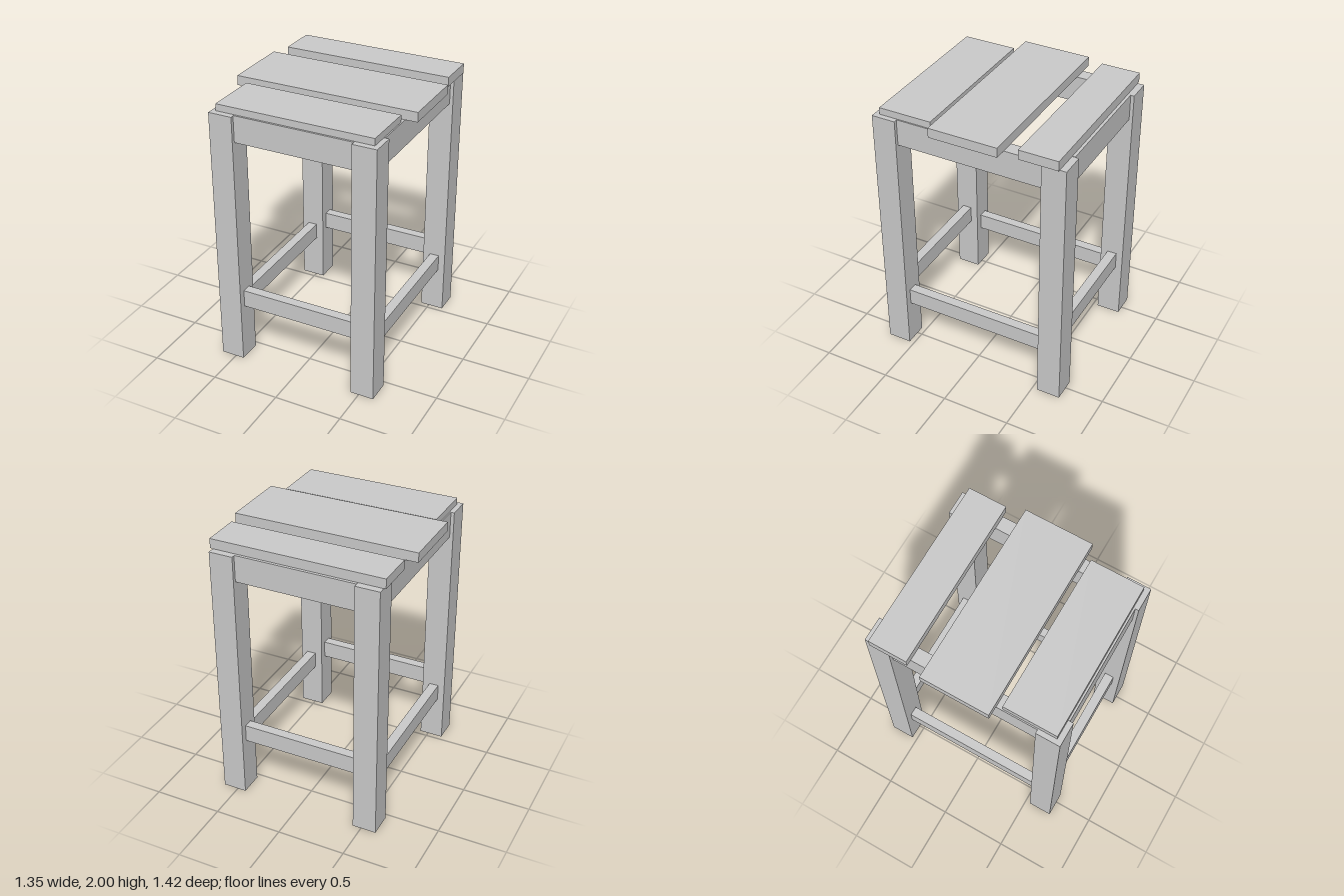
import * as THREE from 'three';

const material = new THREE.MeshStandardMaterial({ color: 0xcccccc, flatShading: true });

// Box given by its min/max extents on each axis
function board(name, [x0, x1], [y0, y1], [z0, z1]) {
  const mesh = new THREE.Mesh(new THREE.BoxGeometry(x1 - x0, y1 - y0, z1 - z0), material);
  mesh.position.set((x0 + x1) / 2, (y0 + y1) / 2, (z0 + z1) / 2);
  mesh.name = name;
  return mesh;
}

// Extent from a to b, mirrored when side is -1
const span = (side, a, b) => (side > 0 ? [a, b] : [-b, -a]);

export function createModel() {
  const stool = new THREE.Group();
  stool.name = 'stool';

  const legX = [0.436, 0.611], legZ = [0.537, 0.712], legTop = 1.927;
  const betweenX = [-legX[0], legX[0]], betweenZ = [-legZ[0], legZ[0]];

  for (const s of [1, -1]) {
    const side = s > 0 ? 'left' : 'right';
    const end = s > 0 ? 'front' : 'back';

    // Legs
    for (const t of [1, -1]) {
      stool.add(board(`${side}${t > 0 ? 'Front' : 'Back'}Leg`, span(s, ...legX), [0, legTop], span(t, ...legZ)));
    }

    // Aprons under the seat
    const apronY = [1.735, 1.93];
    stool.add(board(`${end}Apron`, betweenX, apronY, span(s, 0.587, 0.687)));
    stool.add(board(`${side}Apron`, span(s, 0.487, 0.586), apronY, betweenZ));

    // Foot stretchers, side pair set lower
    stool.add(board(`${end}Stretcher`, betweenX, [0.427, 0.557], span(s, 0.592, 0.662)));
    stool.add(board(`${side}Stretcher`, span(s, 0.492, 0.562), [0.343, 0.468], betweenZ));
  }

  // Uneven seat planks
  stool.add(board('frontPlank', [-0.577, 0.577], [1.93, 1.98], [0.283, 0.673]));
  stool.add(board('middlePlank', [-0.674, 0.674], [1.93, 2], [-0.261, 0.241]));
  stool.add(board('backPlank', [-0.629, 0.629], [1.93, 2], [-0.666, -0.384]));

  return stool;
}
